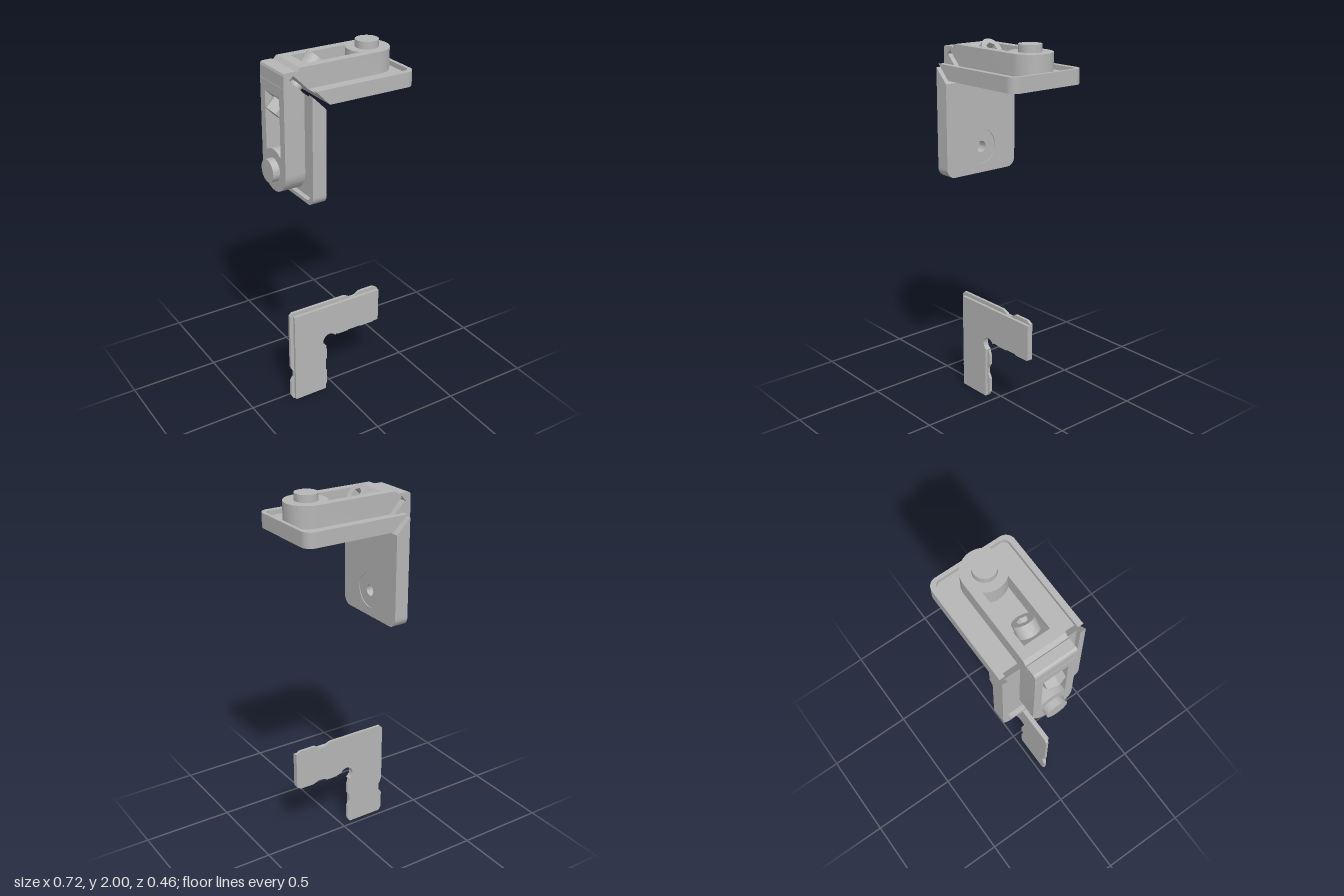
import * as THREE from 'three';
import { toCreasedNormals } from 'three/addons/utils/BufferGeometryUtils.js';

const grey = new THREE.MeshStandardMaterial({ color: 0xb6b6b6 });
grey.name = 'grey';

const FOLD = 1.64;   // the halves mirror across x + y = FOLD
const MITRE = 1.66;  // mitred edge of the upper half lies on x + y = MITRE

function part(name, geometry) {
  const mesh = new THREE.Mesh(geometry, grey);
  mesh.name = name;
  return mesh;
}

// plan shape (x, z) raised from y0 to y1
function slab(shape, y0, y1) {
  const g = new THREE.ExtrudeGeometry(shape, { depth: y1 - y0, bevelEnabled: false, curveSegments: 20 });
  return g.rotateX(-Math.PI / 2).translate(0, y0, 0);
}

// side profile (x, y) extruded from z0 to z1
function side(points, z0, z1) {
  const shape = new THREE.Shape(points.map(p => new THREE.Vector2(...p)));
  return new THREE.ExtrudeGeometry(shape, { depth: z1 - z0, bevelEnabled: false }).translate(0, 0, z0);
}

// slide the left end of a slab onto the mitre plane
function mitre(g) {
  const p = g.attributes.position;
  for (let i = 0; i < p.count; i++) if (p.getX(i) < -0.1) p.setX(i, MITRE - p.getY(i));
  g.computeVertexNormals();
  return toCreasedNormals(g, 0.6);
}

function circlePath(x, r) {
  return new THREE.Path().absarc(x, 0, r, 0, Math.PI * 2, true);
}

function disc(x, r, hole) {
  const s = new THREE.Shape().absarc(x, 0, r, 0, Math.PI * 2);
  if (hole) s.holes.push(circlePath(x, hole));
  return s;
}

// stand a y-axis geometry on the 45 degree ramp
function tilt(g, centreSum) {
  return g.rotateZ(-Math.PI / 4).translate((centreSum - 2.022) / 2, (centreSum + 2.022) / 2, 0);
}

function bracketHalf(name, fastener) {
  const half = new THREE.Group();
  half.name = name;

  // base plate with rounded end and fixing recess
  const base = new THREE.Shape();
  base.moveTo(-0.2, -0.23);
  base.lineTo(0.31, -0.23);
  base.absarc(0.31, -0.18, 0.05, -Math.PI / 2, 0);
  base.absarc(0.31, 0.18, 0.05, 0, Math.PI / 2);
  base.lineTo(-0.2, 0.23);
  base.holes.push(circlePath(0.22, 0.092));
  half.add(part('basePlate', mitre(slab(base, 1.797, 1.85))));

  // raised rim on three sides
  const rim = new THREE.Shape();
  rim.moveTo(-0.2, -0.23);
  rim.lineTo(0.31, -0.23);
  rim.absarc(0.31, -0.18, 0.05, -Math.PI / 2, 0);
  rim.absarc(0.31, 0.18, 0.05, 0, Math.PI / 2);
  rim.lineTo(-0.2, 0.23);
  rim.lineTo(-0.2, 0.2);
  rim.lineTo(0.31, 0.2);
  rim.absarc(0.31, 0.17, 0.03, Math.PI / 2, 0, true);
  rim.absarc(0.31, -0.17, 0.03, 0, -Math.PI / 2, true);
  rim.lineTo(-0.2, -0.2);
  half.add(part('rim', mitre(slab(rim, 1.85, 1.875))));

  // ring set into the underside
  half.add(part('fixingRing', toCreasedNormals(slab(disc(0.22, 0.0915, 0.03), 1.801, 1.85), 0.6)));

  // raised block, round at the free end, with a pocket open to the ramp
  const block = new THREE.Shape();
  const a = Math.asin(0.07 / 0.108);
  block.moveTo(-0.175, -0.115);
  block.lineTo(0.22, -0.115);
  block.absarc(0.22, 0, 0.115, -Math.PI / 2, Math.PI / 2);
  block.lineTo(-0.175, 0.115);
  block.lineTo(-0.175, 0.07);
  block.lineTo(0.138, 0.07);
  block.absarc(0.22, 0, 0.108, Math.PI - a, Math.PI + a);
  block.lineTo(-0.175, -0.07);
  half.add(part('block', toCreasedNormals(slab(block, 1.85, 1.962), 0.6)));
  half.add(part('blockEnd', side([[-0.175, 1.962], [-0.23, 1.962], [-0.266, 1.926],
    [-0.19, 1.85], [-0.175, 1.85]], -0.115, 0.115)));
  half.add(part('ramp', side([[-0.175, 1.962], [-0.175, 1.85], [-0.06, 1.85]], -0.07, 0.07)));

  // round pin
  half.add(part('pin', toCreasedNormals(slab(disc(0.22, 0.06), 1.96, 2), 0.6)));
  half.add(fastener);
  return half;
}

function screwHead() {
  const s = new THREE.Shape().absarc(0, 0, 0.057, 0, Math.PI * 2);
  const hex = new THREE.Path();
  for (let i = 0; i < 6; i++) {
    const t = -i * Math.PI / 3;
    hex[i ? 'lineTo' : 'moveTo'](0.031 * Math.cos(t), 0.031 * Math.sin(t));
  }
  s.holes.push(hex);
  const g = new THREE.Group();
  g.name = 'screwHead';
  g.add(part('socketRim', toCreasedNormals(tilt(slab(s, -0.042, 0), 1.882), 0.6)));
  g.add(part('headBase', tilt(new THREE.CylinderGeometry(0.057, 0.057, 0.03, 32).translate(0, -0.055, 0), 1.882)));
  return g;
}

function nut() {
  const g = new THREE.CylinderGeometry(0.06, 0.06, 0.068, 6, 1, false, Math.PI / 6);
  return part('nut', toCreasedNormals(tilt(g.translate(0, -0.034, 0), 1.882), 0.3));
}

// flat corner key with wavy gripping edges, symmetric about its diagonal
function cornerKey() {
  const key = new THREE.Group();
  key.name = 'cornerKey';
  const flip = ([x, y]) => [0.292 - y, 0.292 - x];
  const notch = [25, 45, 65, 90, 112, 135].map(d => {
    const t = d * Math.PI / 180;
    return [-0.035 + 0.041 * Math.cos(t), 0.327 + 0.041 * Math.sin(t)];
  });
  const mirrored = half => half.concat(half.slice(0, -1).reverse().map(flip));
  const wavy = [[-0.262, 0.57], [0.07, 0.57], [0.09, 0.562], [0.11, 0.551], [0.14, 0.551], [0.17, 0.57],
    [0.265, 0.57], [0.29, 0.555], [0.29, 0.35], [0.265, 0.335], [0.18, 0.335], [0.155, 0.349],
    [0.12, 0.349], [0.095, 0.335], [0.035, 0.335], [0.01, 0.345], ...notch];
  const plain = [[-0.255, 0.549], [0.29, 0.549], [0.29, 0.352], [0.005, 0.352], ...notch];
  key.add(part('wavyPlate', side(mirrored(wavy), 0.03, 0.046)));
  key.add(part('frontPlate', side(mirrored(plain), 0.046, 0.062)));
  return key;
}

export function createModel() {
  const model = new THREE.Group();
  model.name = 'cornerBracketSet';

  const upper = bracketHalf('upperHalf', screwHead());
  const lower = bracketHalf('lowerHalf', nut());
  lower.quaternion.setFromAxisAngle(new THREE.Vector3(1, -1, 0).normalize(), Math.PI);
  lower.position.set(FOLD, FOLD, 0);
  model.add(upper, lower);

  // outer corner joining the two blocks
  model.add(part('outerCorner', side([[-0.321, 1.85], [-0.29, 1.908], [-0.264, 1.934], [-0.24, 1.932],
    [-0.256, 1.948], [-0.306, 1.948], [-0.317, 1.944], [-0.321, 1.932]], -0.115, 0.115)));

  // screw shaft crossing the mitre
  model.add(part('screwShaft', tilt(new THREE.CylinderGeometry(0.033, 0.033, 0.22, 24), FOLD)));

  model.add(cornerKey());
  return model;
}
